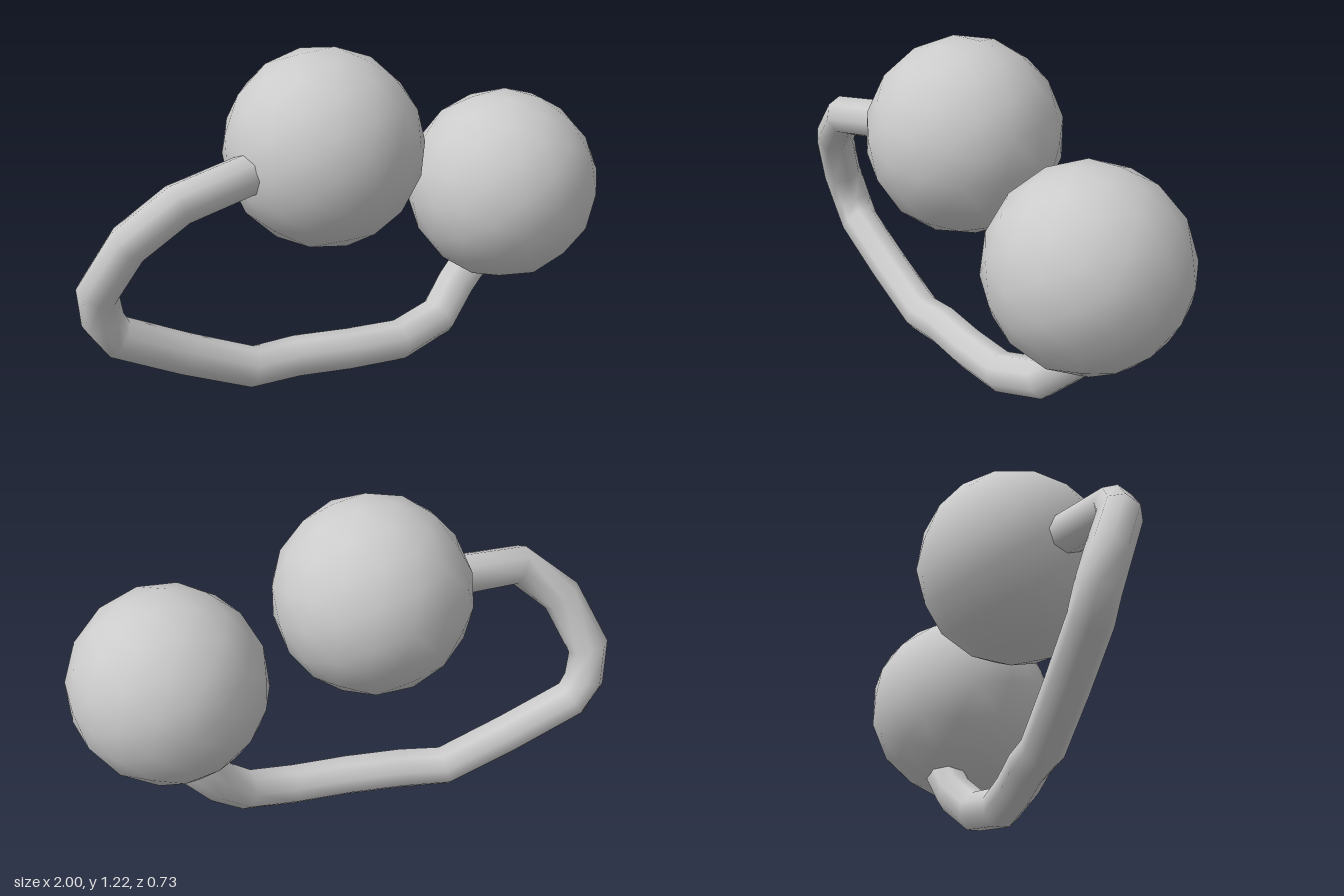
import * as THREE from 'three';

const material = new THREE.MeshStandardMaterial({ color: 0xcccccc });

// Coarse, smooth-shaded ball
function makeBall(name, x, y, z, tilt) {
  const ball = new THREE.Mesh(new THREE.IcosahedronGeometry(0.355, 2), material);
  ball.name = name;
  ball.position.set(x, y, z);
  ball.rotation.set(tilt, tilt * 0.5, tilt * 0.7);
  return ball;
}

// Bent cord: one ring of vertices at each path point
function makeCord(points, radius) {
  const path = new THREE.CatmullRomCurve3(
    points.map((p) => new THREE.Vector3(...p)), false, 'catmullrom', 0.5);
  path.getPointAt = path.getPoint;
  path.getTangentAt = path.getTangent;
  const cord = new THREE.Mesh(
    new THREE.TubeGeometry(path, points.length - 1, radius, 8, false), material);
  cord.name = 'cord';
  return cord;
}

export function createModel() {
  const model = new THREE.Group();
  model.name = 'ballsOnCord';

  model.add(makeBall('upperBall', -0.08, 0.88, -0.01, 0.3));
  model.add(makeBall('lowerBall', 0.65, 0.62, 0.015, 0.8));

  // Both ends run on into the balls
  model.add(makeCord([
    [-0.22, 0.87, 0.04],
    [-0.42, 0.86, 0.07],
    [-0.68, 0.83, 0.13],
    [-0.84, 0.7, 0.08],
    [-0.93, 0.51, 0.0],
    [-0.91, 0.39, -0.03],
    [-0.86, 0.31, -0.035],
    [-0.62, 0.19, -0.025],
    [-0.37, 0.08, -0.015],
    [-0.2, 0.09, 0.0],
    [0.0, 0.082, 0.025],
    [0.21, 0.075, 0.035],
    [0.395, 0.115, 0.0],
    [0.5, 0.21, -0.05],
    [0.59, 0.31, -0.06],
    [0.65, 0.42, -0.05],
  ], 0.075));

  return model;
}
